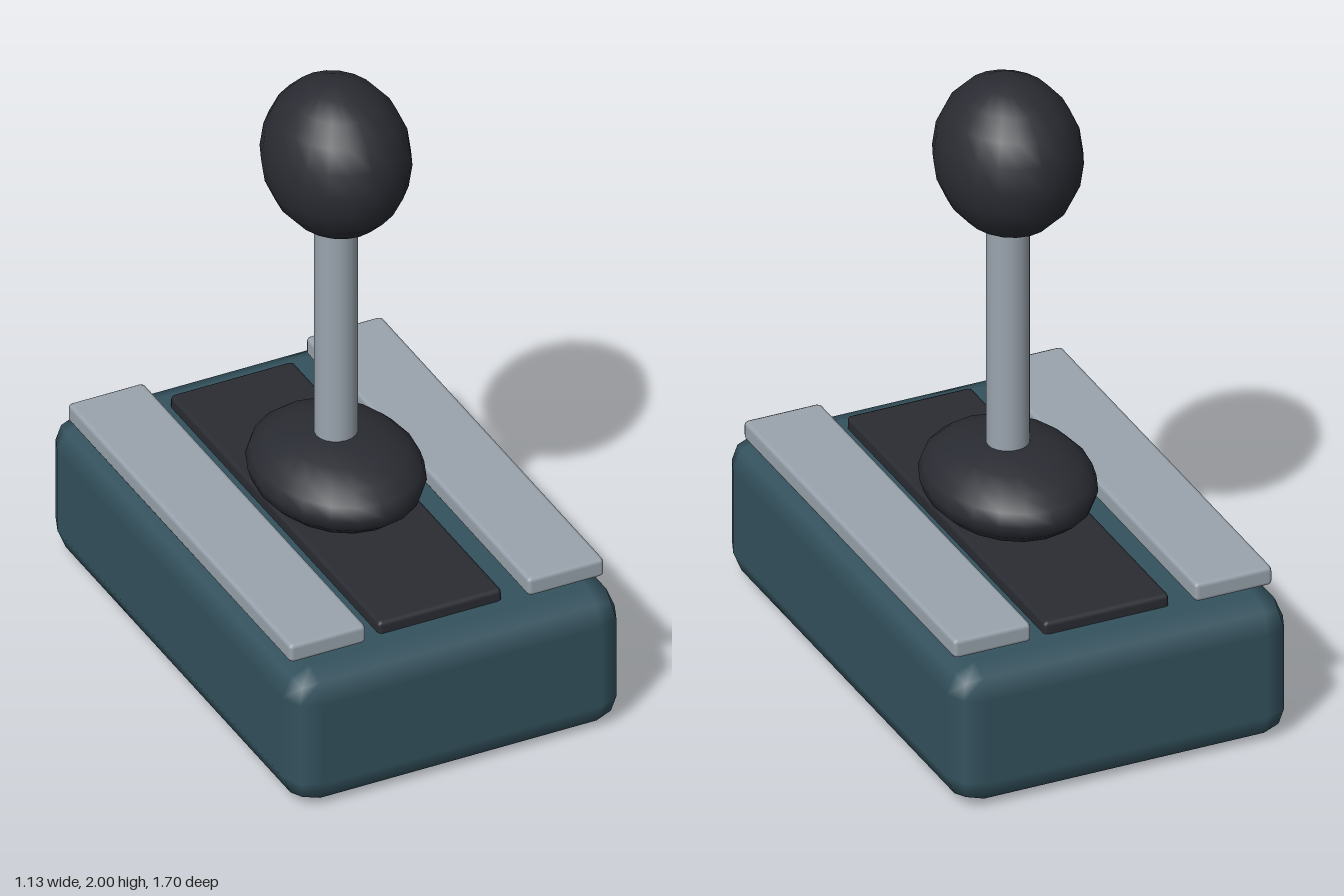
import * as THREE from 'three';
import { RoundedBoxGeometry } from 'three/addons/geometries/RoundedBoxGeometry.js';

export function createModel() {
  const model = new THREE.Group();
  model.name = 'joystick';
  const teal = new THREE.MeshStandardMaterial({ color: 0x34525e });
  const black = new THREE.MeshStandardMaterial({ color: 0x2a2c33 });
  const metal = new THREE.MeshStandardMaterial({ color: 0x9aa4ae });

  function add(name, geometry, material, x, y, z = 0) {
    const mesh = new THREE.Mesh(geometry, material);
    mesh.name = name;
    mesh.position.set(x, y, z);
    model.add(mesh);
    return mesh;
  }
  const block = (w, h, d, r) => new RoundedBoxGeometry(w, h, d, 1, r);
  const ellipsoid = (rx, ry, rz) => new THREE.SphereGeometry(1, 20, 10).scale(rx, ry, rz);

  // Chamfered housing with the dark strip down the middle
  add('base', block(1.13, 0.475, 1.7, 0.095), teal, 0, 0.2375);
  add('centreStrip', block(0.42, 0.06, 1.41, 0.015), black, 0, 0.485);

  // Raised metal plates on both sides
  for (const side of [-1, 1]) {
    add(side > 0 ? 'leftPlate' : 'rightPlate', block(0.26, 0.065, 1.5, 0.015), metal, side * 0.405, 0.5225);
  }

  // Boot, shaft and knob
  add('boot', ellipsoid(0.262, 0.135, 0.327), black, 0, 0.61);
  add('shaft', new THREE.CylinderGeometry(0.067, 0.067, 0.95, 20), metal, 0, 1.1);
  add('knob', ellipsoid(0.225, 0.258, 0.262), black, 0, 1.742);

  return model;
}
